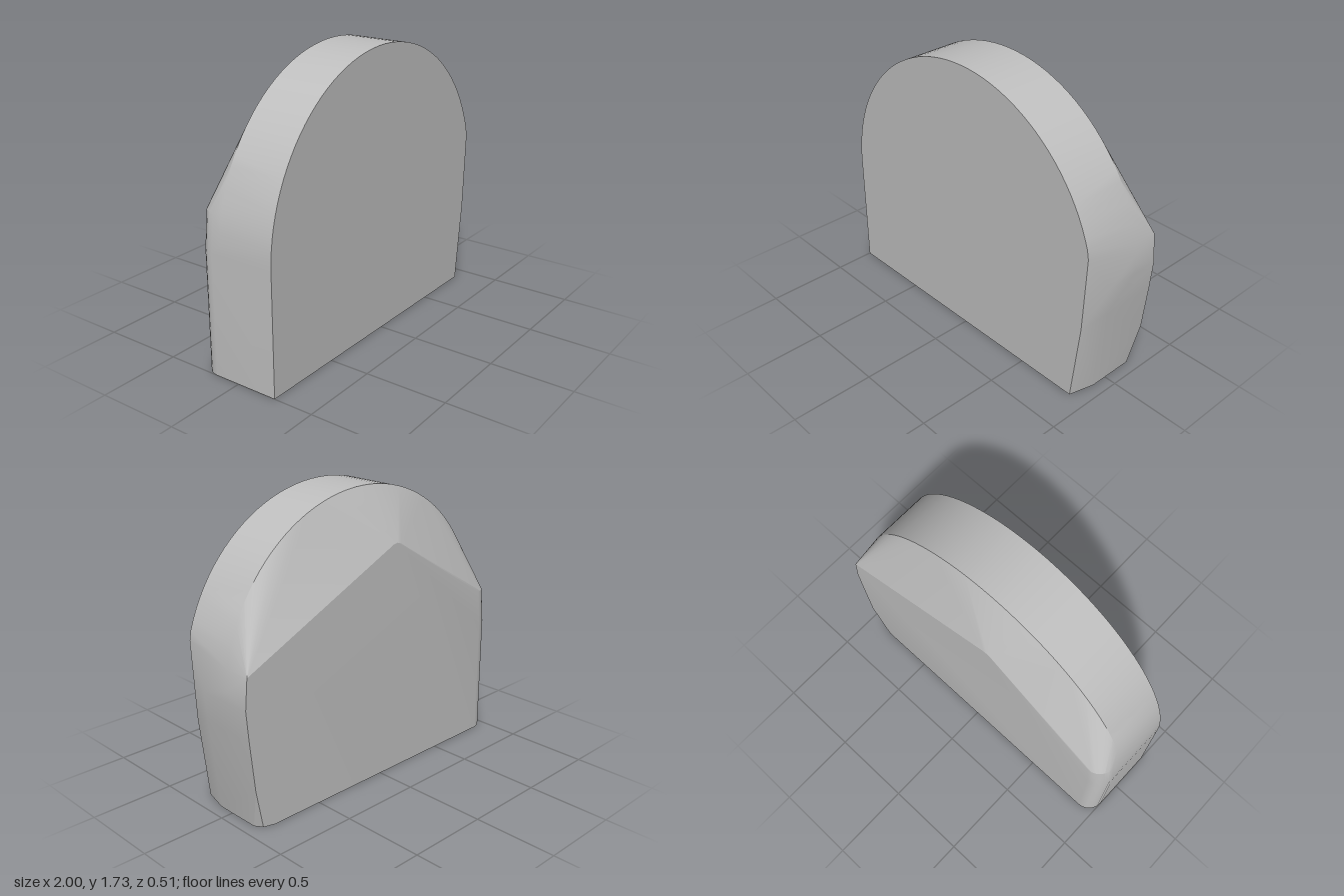
import * as THREE from 'three';
import { ConvexGeometry } from 'three/addons/geometries/ConvexGeometry.js';
import { toCreasedNormals } from 'three/addons/utils/BufferGeometryUtils.js';

const FRONT = 0.255, BACK = -0.255, SLOPE = -0.095; // depth planes
const SPRING = 0.73;                                // height where the arch begins

export function createModel() {
  const group = new THREE.Group();
  const grey = new THREE.MeshStandardMaterial({ color: 0xbfbfbf });
  grey.name = 'grey';

  const points = [];
  const add = (x, y, z) => points.push(new THREE.Vector3(x, y, z));

  // Round arch, on the front face and where the back starts to slope
  const steps = 52;
  for (let i = 0; i <= steps; i++) {
    const a = (i / steps) * Math.PI;
    const x = Math.cos(a), y = SPRING + Math.sin(a);
    if (y > 0.97 || x < 0) add(x, y, FRONT);
    add(x, y, SLOPE);
  }
  add(-1, 0, FRONT);

  // Left flank: bevelled at the front, tapering in towards the base
  for (const [x, y] of [[0.965, 0.97], [0.943, 0.5], [0.885, 0]]) add(x, y, FRONT);
  for (const [x, y] of [[1, SPRING], [0.985, 0.55], [0.925, 0]]) add(x, y, 0.1);
  for (const [x, y] of [[0.984, 0.91], [1, SPRING], [0.985, 0.55], [0.954, 0.25]]) add(x, y, BACK);

  // Clipped lower corner on the back
  add(0.925, 0, -0.19);
  add(0.895, 0, -0.235);
  add(0.83, 0, BACK);

  // Rounded upright edge on the back right
  const r = 0.1;
  for (const [x, y] of [[-1, 0], [-1, SPRING], [-0.975, 0.95]]) {
    for (let i = 0; i <= 6; i++) {
      const a = (i / 6) * Math.PI / 2;
      add(x + r * (1 - Math.cos(a)), y, BACK + r * (1 - Math.sin(a)));
    }
  }

  // Blunt peak of the flat back
  for (const [x, y] of [[-0.15, 1.4], [-0.12, 1.41], [-0.09, 1.405]]) add(x, y, BACK);

  const body = new THREE.Mesh(toCreasedNormals(new ConvexGeometry(points), 0.35), grey);
  body.name = 'archedBlock';
  group.add(body);
  return group;
}
